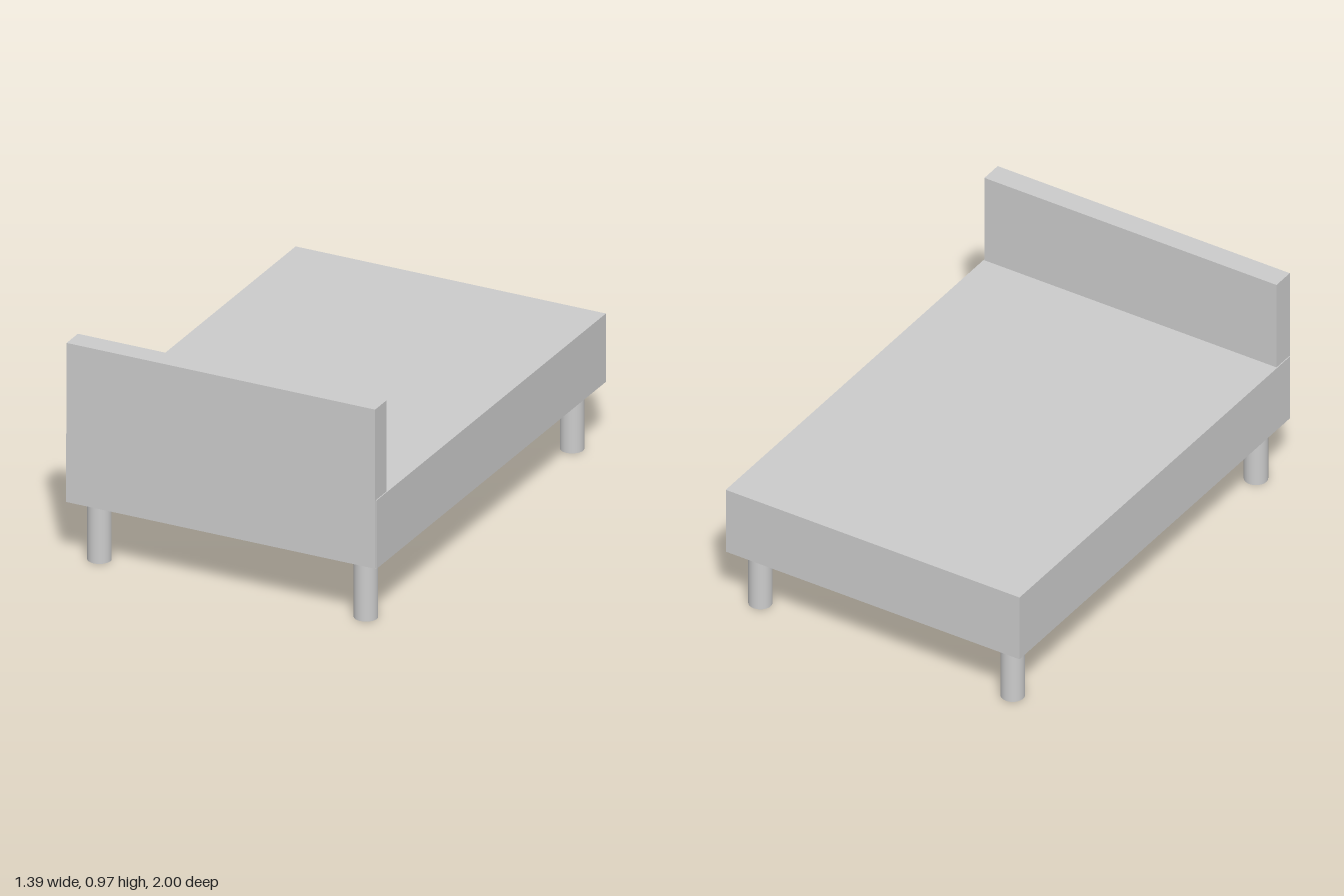
import * as THREE from 'three';

export function createModel() {
  const model = new THREE.Group();
  const material = new THREE.MeshStandardMaterial({ color: 0xcccccc });

  const add = (name, geometry, x, y, z) => {
    const mesh = new THREE.Mesh(geometry, material);
    mesh.name = name;
    mesh.position.set(x, y, z);
    model.add(mesh);
  };

  // Bed base, from y = 0.27 to 0.57
  add('bedBase', new THREE.BoxGeometry(1.39, 0.3, 1.997), 0, 0.42, -0.0015);

  // Headboard, slightly narrower than the base and just proud of its end
  add('headboard', new THREE.BoxGeometry(1.382, 0.695, 0.098), 0, 0.6225, 0.951);

  // Four round legs
  const legGeometry = new THREE.CylinderGeometry(0.049, 0.049, 0.272, 32);
  for (const [end, z] of [['front', 0.897], ['back', -0.897]]) {
    for (const [side, x] of [['Left', 0.597], ['Right', -0.597]]) {
      add(`${end}${side}Leg`, legGeometry, x, 0.136, z);
    }
  }

  return model;
}
